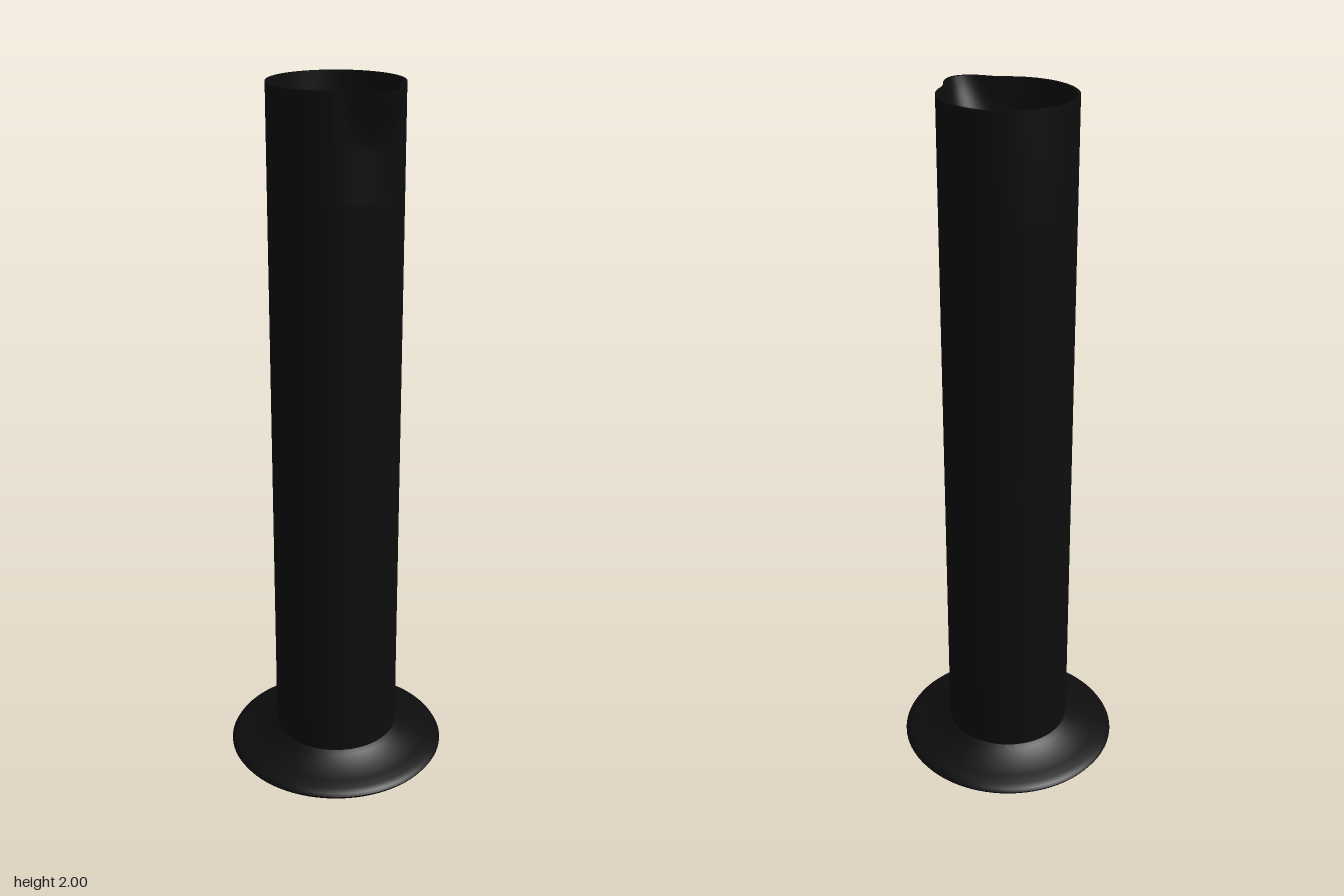
import * as THREE from 'three';
import { toCreasedNormals } from 'three/addons/utils/BufferGeometryUtils.js';

const SEGMENTS = 96;

function lathe(points, deform) {
  const profile = points.map(([r, y]) => new THREE.Vector2(r, y));
  // The seam sits at the back
  const geometry = new THREE.LatheGeometry(profile, SEGMENTS, Math.PI);
  if (deform) deform(geometry.attributes.position);
  return toCreasedNormals(geometry, 0.6);
}

// Pulls the rim forward into a rounded pouring lip at +z
function pullSpout(position) {
  const halfAngle = 0.58, depth = 0.055, start = 1.74;
  const v = new THREE.Vector3();
  for (let i = 0; i < position.count; i++) {
    v.fromBufferAttribute(position, i);
    const angle = Math.atan2(v.x, v.z);
    if (v.y <= start || Math.abs(angle) >= halfAngle) continue;
    const side = Math.cos((angle / halfAngle) * Math.PI / 2) ** 2;
    const t = (v.y - start) / (2 - start);
    const rise = 0.12 * t + 0.88 * THREE.MathUtils.smoothstep(t, 0.42, 1.08);
    const push = depth * side * rise;
    position.setXYZ(i, v.x + Math.sin(angle) * push, v.y, v.z + Math.cos(angle) * push);
  }
}

export function createModel() {
  const model = new THREE.Group();
  model.name = 'measuringCylinder';
  const black = new THREE.MeshStandardMaterial({ color: 0x0d0d0d });
  black.name = 'black';

  // Hollow tube: outer wall, rim, inner wall, floor
  const rows = 14;
  const heights = Array.from({ length: rows + 1 }, (_, i) => 1.72 + (0.28 * i) / rows);
  const outer = heights.map((y) => [0.18, y]);
  const inner = heights.map((y) => [0.172, y]).reverse();
  const tube = new THREE.Mesh(
    lathe([[0.18, 0.05], ...outer, ...inner, [0.172, 0.085], [0.16, 0.07], [0, 0.07]], pullSpout),
    black
  );
  tube.name = 'tubeWithSpout';

  // Flared foot with a rounded edge and a shallow recess underneath
  const foot = new THREE.Mesh(
    lathe([
      [0, 0.015], [0.13, 0.015], [0.145, 0], [0.2, 0.003], [0.26, 0.008], [0.295, 0.014],
      [0.312, 0.021], [0.318, 0.03], [0.313, 0.038], [0.298, 0.045], [0.27, 0.051],
      [0.24, 0.06], [0.21, 0.074], [0.192, 0.085], [0.18, 0.094], [0.176, 0.096],
    ]),
    black
  );
  foot.name = 'foot';

  model.add(tube, foot);
  return model;
}
